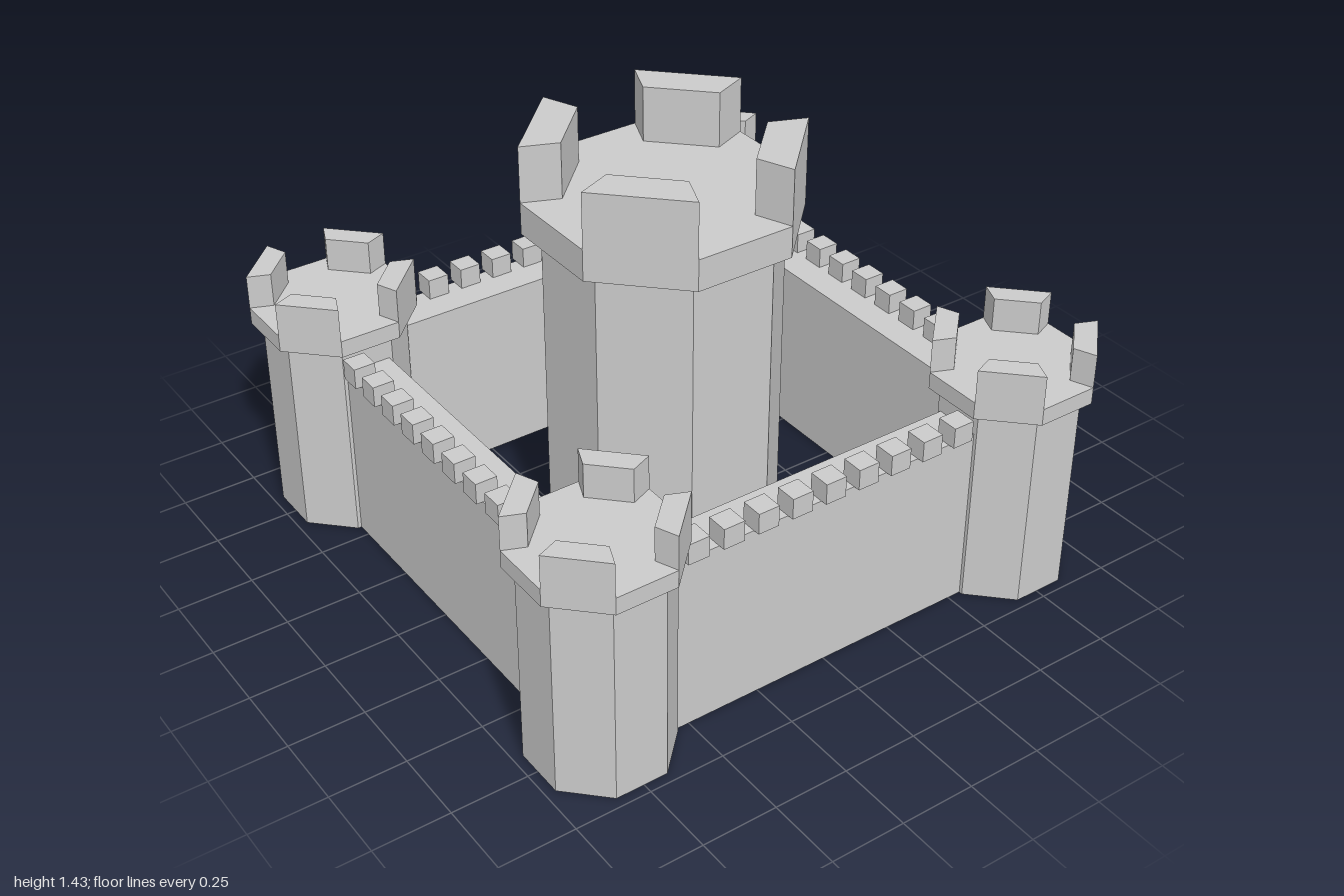
import * as THREE from 'three';

const material = new THREE.MeshStandardMaterial({ color: 0xcccccc, flatShading: true });
const TAN = Math.tan(Math.PI / 8);

function addMesh(parent, name, geometry, x = 0, y = 0, z = 0) {
  const mesh = new THREE.Mesh(geometry, material);
  mesh.name = name;
  mesh.position.set(x, y, z);
  parent.add(mesh);
  return mesh;
}

// Octagonal prism with flat sides facing the axes, standing on y = 0
function octagon(halfWidth, height) {
  const r = halfWidth / Math.cos(Math.PI / 8);
  return new THREE.CylinderGeometry(r, r, height, 8, 1, false, Math.PI / 8)
    .translate(0, height / 2, 0);
}

// Wedge-shaped battlement filling one diagonal side of an octagonal cap
function cornerMerlon(halfWidth, height) {
  const a = halfWidth, b = halfWidth * TAN, k = 0.71;
  const shape = new THREE.Shape([
    new THREE.Vector2(a, b),
    new THREE.Vector2(b, a),
    new THREE.Vector2(b * k, a * k),
    new THREE.Vector2(a * k, b * k),
  ]);
  return new THREE.ExtrudeGeometry(shape, { depth: height, bevelEnabled: false })
    .rotateX(-Math.PI / 2);
}

// Shaft, overhanging cap and four diagonal battlements
function createTower(name, { shaft, cap, capBase, capTop, top }) {
  const tower = new THREE.Group();
  tower.name = name;
  addMesh(tower, 'shaft', octagon(shaft, capBase));
  addMesh(tower, 'cap', octagon(cap, capTop - capBase), 0, capBase, 0);
  const merlon = cornerMerlon(cap, top - capTop);
  for (let i = 0; i < 4; i++) {
    addMesh(tower, 'towerMerlon', merlon, 0, capTop, 0).rotation.y = i * Math.PI / 2;
  }
  return tower;
}

// Curtain wall with a row of small battlements along its outer edge
function createWall(name) {
  const wall = new THREE.Group();
  wall.name = name;
  const height = 0.605, size = 0.072;
  addMesh(wall, 'curtain', new THREE.BoxGeometry(1.24, height, 0.15), 0, height / 2, 0.757);
  const block = new THREE.BoxGeometry(size, 0.07, size);
  for (let i = -4; i <= 4; i++) {
    addMesh(wall, 'wallMerlon', block, i * 0.121, height + 0.035, 0.818);
  }
  return wall;
}

export function createModel() {
  const castle = new THREE.Group();
  castle.name = 'castle';

  // Central keep
  castle.add(createTower('keep', {
    shaft: 0.35, cap: 0.405, capBase: 1.14, capTop: 1.245, top: 1.43,
  }));

  // Four corner towers
  for (const x of [-1, 1]) for (const z of [-1, 1]) {
    const name = (z > 0 ? 'front' : 'back') + (x > 0 ? 'Left' : 'Right') + 'Tower';
    const tower = createTower(name, {
      shaft: 0.21, cap: 0.243, capBase: 0.688, capTop: 0.745, top: 0.858,
    });
    tower.position.set(x * 0.757, 0, z * 0.757);
    castle.add(tower);
  }

  // Four walls between the towers
  ['frontWall', 'leftWall', 'backWall', 'rightWall'].forEach((name, i) => {
    const wall = createWall(name);
    wall.rotation.y = i * Math.PI / 2;
    castle.add(wall);
  });

  return castle;
}
